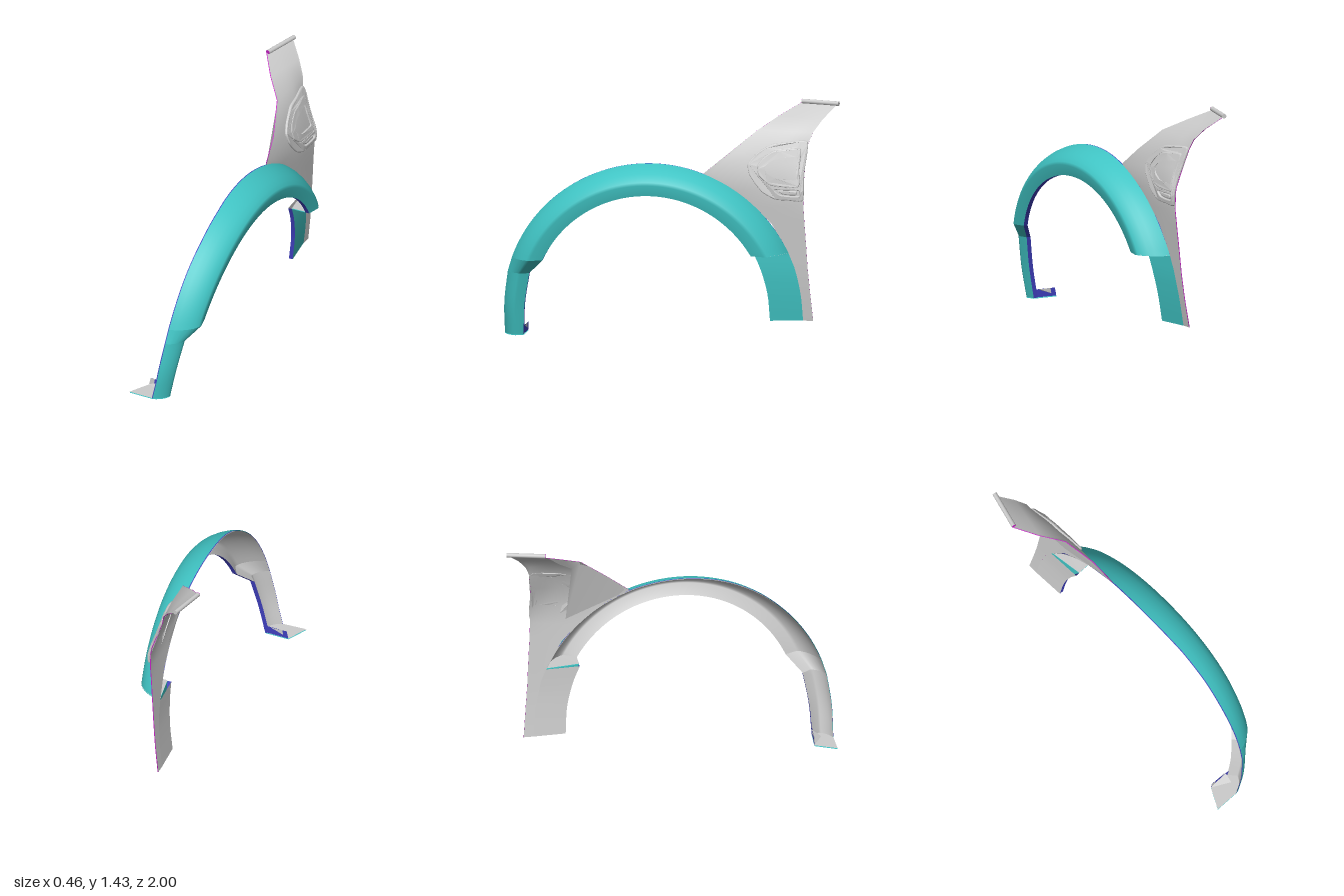
import * as THREE from 'three';

const V = (x, y, z) => new THREE.Vector3(x, y, z);
const mat = (color) => new THREE.MeshStandardMaterial({ color, side: THREE.DoubleSide });
const grey = mat(0xcccccc), teal = mat(0x40c4c4), blue = mat(0x4040c0), magenta = mat(0xc020c0);
const smooth = THREE.MathUtils.smoothstep;

// Side profile of the body: x for each height, swelling to the rear and curling in at the rear edge
const PROFILE = [[0, -.06], [.13, -.03], [.25, -.01], [.4, .015], [.6, .035], [.8, .05], [.92, .061],
  [1.02, .064], [1.07, .058], [1.15, .035], [1.21, .012], [1.27, -.025], [1.34, -.095], [1.41, -.195]];
function bodyX(y, z) {
  let i = 0;
  while (i < PROFILE.length - 2 && y > PROFILE[i + 1][0]) i++;
  const [y0, x0] = PROFILE[i], [y1, x1] = PROFILE[i + 1];
  const x = x0 + (x1 - x0) * (y - y0) / (y1 - y0);
  const swell = .03 - .016 * smooth(y, .1, .6) - .024 * smooth(y, .9, 1.1) + .01 * smooth(y, 1.2, 1.3);
  const curl = .024 * smooth(-z, .65, .85) * smooth(y, .9, 1.1) * (1 - smooth(y, 1.2, 1.32));
  return x + swell * smooth(-z, .25, .7) - curl - Math.max(0, y - 1.27) / .14 * (z + .87) * .27;
}

// Surface through rows of points
function loft(rows) {
  const n = rows[0].length, pos = [], idx = [];
  rows.forEach((r) => r.forEach((p) => pos.push(p.x, p.y, p.z)));
  for (let i = 0; i < rows.length - 1; i++) {
    for (let j = 0; j < n - 1; j++) {
      const a = i * n + j, b = a + n;
      idx.push(a, a + 1, b, a + 1, b + 1, b);
    }
  }
  const g = new THREE.BufferGeometry();
  g.setAttribute('position', new THREE.Float32BufferAttribute(pos, 3));
  g.setIndex(idx);
  g.computeVertexNormals();
  return g;
}

// Flat polygon fanned from its first corner
function fan(points) {
  return loft([points.slice(1), points.slice(1).map(() => points[0])]).toNonIndexed();
}

function add(parent, name, geometry, material) {
  if (!geometry.index) geometry.computeVertexNormals();
  const m = new THREE.Mesh(geometry, material);
  m.name = name;
  parent.add(m);
  return m;
}

// Stations: outer z, outer y, inner z, inner y, x of the lip
const LEG = [[1, .004, .88, .004, .02], [.998, .2, .868, .2, .06], [.973, .39, .835, .39, .098]];
const REAR = [[-.718, .545, -.512, .545, .075], [-.752, .46, -.552, .45, .068],
  [-.787, .3, -.592, .3, .052], [-.8, .13, -.605, .13, .03]];

function sample(stations, count) {
  const o = new THREE.CatmullRomCurve3(stations.map((s) => V(0, s[1], s[0])));
  const n = new THREE.CatmullRomCurve3(stations.map((s) => V(s[4], s[3], s[2])));
  return Array.from({ length: count + 1 }, (_, i) => {
    const a = o.getPoint(i / count), b = n.getPoint(i / count);
    a.x = bodyX(a.y, a.z);
    return [a, b];
  });
}

// Circular arch: outer body edge and inner lip are two nearly concentric arcs
function archStations(count) {
  const at = (from, to, t) => THREE.MathUtils.degToRad(from + (to - from) * t);
  return Array.from({ length: count + 1 }, (_, i) => {
    const a = at(20, 155.4, i / count), b = at(24.8, 149.4, i / count);
    const o = V(0, .17 + .9 * Math.sin(a), .1 + .9 * Math.cos(a));
    const n = V(0, .184 + .716 * Math.sin(b), .1 + .71 * Math.cos(b));
    o.x = bodyX(o.y, o.z);
    n.x = .228 - (n.z > .1 ? .165 : .07) * Math.max(0, .9 - n.y) ** 1.3;
    return [o, n];
  });
}

// Cross-section: rounded crown from the body edge to the widest line, then the lip
const BULGE = [[0, 0], [.25, .09], [.48, .24], [.68, .42], [.84, .62], [.95, .83], [1, 1]];
const innerEdge = ([, n], d = .018) => V(n.x - d, n.y, n.z);
const crown = (s) => [...BULGE.map(([u, w]) => {
  const p = s[0].clone().lerp(s[1], w * .62);
  p.x = s[0].x + (s[1].x - s[0].x) * u;
  return p;
}), innerEdge(s)];
const fold = (s) => [innerEdge(s), innerEdge(s, .045)];
const lining = (s) => [innerEdge(s, .045), ...crown(s).slice(0, -1).reverse().map((p) =>
  V(p.x - .005, p.y, p.z).lerp(V(p.x - .005, s[1].y, s[1].z), .02))];
const seam = ([o]) => [o, V(o.x - .005, o.y, o.z)];

function buildFlare() {
  const g = new THREE.Group();
  g.name = 'wheelArchFlare';
  const leg = sample(LEG, 12), arch = archStations(56);
  const runs = [['leg', leg], ['step', [leg.at(-1), arch[0]]], ['arch', arch]];
  for (const [name, run] of runs) {
    add(g, name + 'Crown', loft(run.map(crown)), teal);
    add(g, name + 'Fold', loft(run.map(fold)), blue);
    add(g, name + 'Lining', loft(run.map(lining)), grey);
    add(g, name + 'Seam', loft(run.map(seam)), blue);
  }

  // Recessed lower rear section, with the shelf above it
  const rear = sample(REAR, 12);
  add(g, 'rearLowerFace', loft(rear), teal);
  add(g, 'rearLowerFold', loft(rear.map((s) => [s[1], innerEdge(s, .025)])), blue);
  add(g, 'rearLowerBack', loft(rear.map((s) => [innerEdge(s, .025), seam(s)[1]])), grey);
  add(g, 'rearLowerCap', fan([...rear.at(-1), innerEdge(rear.at(-1), .025)]), teal);
  const shelf = [rear[0][1], ...crown(arch.at(-1))];
  add(g, 'shelfUnderside', fan(shelf), teal);
  add(g, 'shelfTop', fan(shelf.map((p) => V(p.x, p.y + .005, p.z))), grey);

  // Foot plate closing the front leg and reaching inward, with a small ramp
  const sole = [V(-.215, .006, 1), V(-.15, .006, .87), ...crown(leg[0]).reverse().map((p) => V(p.x, .006, p.z))];
  add(g, 'footPlate', fan(sole), grey);
  add(g, 'footSole', fan(sole.map((p) => V(p.x, 0, p.z))), teal);
  add(g, 'footRamp', fan([V(-.15, .009, .872), V(-.04, .009, .93), V(-.035, .055, .873), V(-.14, .055, .872)]), grey);
  add(g, 'footWall', fan([V(-.15, .006, .87), V(-.14, .055, .87), V(-.01, .055, .88), V(0, .006, .882)]), blue);
  return g;
}

// Panel rows: front z, front y, rear z, rear y
const PANEL = [[-.8, .13, -.86, .13], [-.787, .3, -.845, .3], [-.752, .46, -.832, .45],
  [-.718, .545, -.825, .58], [-.62, .72, -.815, .74], [-.53, .813, -.81, .85], [-.4, .918, -.812, .97],
  [-.21, 1.018, -.817, 1.1], [-.35, 1.13, -.828, 1.2], [-.52, 1.27, -.855, 1.265],
  [-.64, 1.345, -.905, 1.335], [-.76, 1.41, -.98, 1.412]];

function buildPanel() {
  const g = new THREE.Group();
  g.name = 'rearFenderPanel';
  const rows = PANEL.map(([z0, y0, z1, y1]) => Array.from({ length: 15 }, (_, i) => {
    const t = i / 14, z = z0 + (z1 - z0) * t, y = y0 + (y1 - y0) * t;
    return V(bodyX(y, z), y, z);
  }));
  const inset = (p) => V(p.x - .005, p.y, p.z);
  add(g, 'panelSkin', loft(rows), grey);
  add(g, 'panelBack', loft(rows.map((r) => r.map(inset))), grey);
  const rim = [...rows.map((r) => r[0]), ...rows.map((r) => r[14]).reverse(), rows[0][0]];
  add(g, 'panelRim', loft(rim.map((p) => [p, inset(p)])), magenta);
  // Inward flange below the sloping front edge
  const hem = [V(.038, .87, -.6), V(-.06, 1.245, -.58), V(-.135, 1.315, -.665), rows[11][0]];
  add(g, 'frontFlange', loft([7, 9, 10, 11].map((r, i) => [rows[r][0], hem[i]])), grey);

  // Rolled bar along the top edge
  const a = V(-.222, 1.418, -.765), b = V(-.165, 1.418, -.992);
  const bar = add(g, 'topBar', new THREE.CylinderGeometry(.014, .014, a.distanceTo(b), 10), grey);
  bar.position.copy(a).lerp(b, .5);
  bar.quaternion.setFromUnitVectors(V(0, 1, 0), b.clone().sub(a).normalize());
  const cap = add(g, 'topBarCap', new THREE.CylinderGeometry(.0135, .0135, .004, 10), magenta);
  cap.position.copy(a);
  cap.quaternion.copy(bar.quaternion);
  return g;
}

// Vent outlines (z, y), rounded by a closed spline
const path = (pts) => new THREE.CatmullRomCurve3(pts.map(([z, y]) => V(z, y, 0)), true, 'catmullrom', .3)
  .getPoints(56).slice(0, -1).map((p) => new THREE.Vector2(p.x, p.y));
const OUTER = [[-.825, 1.21], [-.7, 1.208], [-.61, 1.195], [-.52, 1.14], [-.475, 1.08], [-.49, 1.01],
  [-.56, .92], [-.64, .875], [-.72, .87], [-.81, .872], [-.812, 1.03]];
const MIDDLE = [[-.795, 1.178], [-.7, 1.176], [-.62, 1.165], [-.555, 1.12], [-.522, 1.07], [-.535, 1.01],
  [-.6, .955], [-.66, .945], [-.79, .945], [-.79, 1.05]];
const INNER = [[-.77, 1.13], [-.7, 1.128], [-.63, 1.115], [-.575, 1.075], [-.582, 1.03], [-.64, .995],
  [-.7, .99], [-.77, .99], [-.77, 1.06]];
const SLOT = [[-.64, .932], [-.7, .932], [-.785, .93], [-.785, .9], [-.72, .898], [-.67, .905]];
const shrink = (pts, k, cz, cy) => pts.map(([z, y]) => [cz + (z - cz) * k, cy + (y - cy) * k]);

function ventPiece(outline, holes, depth) {
  const shape = new THREE.Shape(path(outline));
  shape.holes = holes.map((h) => new THREE.Path(path(h)));
  const geo = new THREE.ExtrudeGeometry(shape, { depth, bevelThickness: .005, bevelSize: .006, bevelOffset: -.006, bevelSegments: 2 });
  const p = geo.attributes.position;
  for (let i = 0; i < p.count; i++) {
    const z = p.getX(i), y = p.getY(i);
    p.setXYZ(i, bodyX(y, z) + p.getZ(i), y, z);
  }
  return geo;
}

function buildVent() {
  const g = new THREE.Group();
  g.name = 'sideVent';
  add(g, 'ventFrame', ventPiece(OUTER, [MIDDLE, SLOT], .007), grey);
  add(g, 'ventInnerFrame', ventPiece(shrink(MIDDLE, .93, -.67, 1.06), [INNER], .008), grey);
  add(g, 'ventSlotBar', ventPiece(shrink(SLOT, .75, -.72, .916), [], .003), grey);
  return g;
}

export function createModel() {
  const model = new THREE.Group();
  model.name = 'fenderWithFlare';
  model.add(buildFlare(), buildPanel(), buildVent());
  return model;
}
